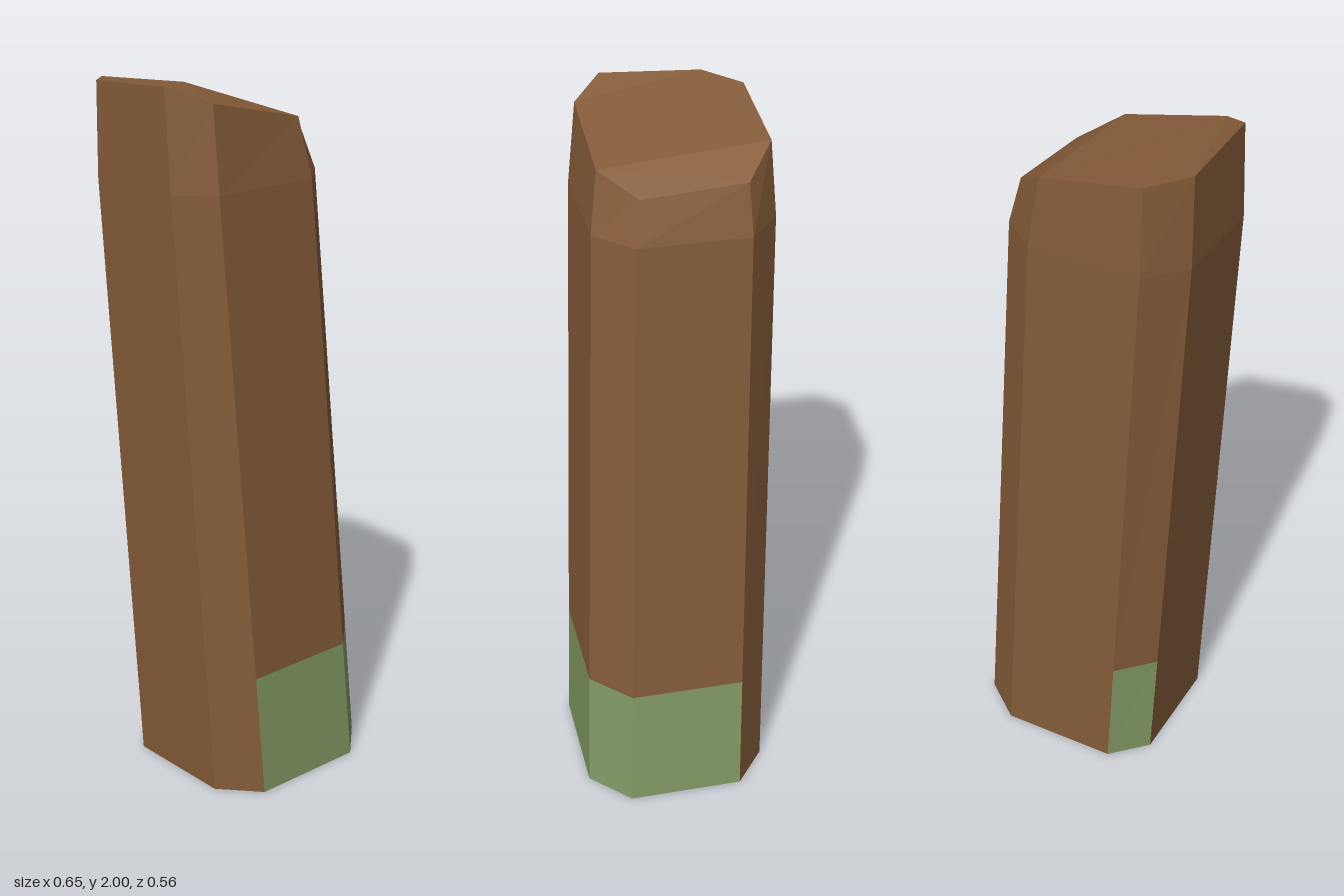
import * as THREE from 'three';

// Cross-sections as [x, y, z], counter-clockwise from above, starting at the front face's -x corner
const ring = (y, pts) => pts.map(([x, z]) => [x, y, z]);
const base = ring(0, [[-0.13, 0.277], [0.212, 0.277], [0.325, 0.17], [0.325, -0.158],
  [0.21, -0.25], [-0.13, -0.25], [-0.225, -0.155], [-0.225, 0.17]]);
const shoulder = ring(1.73, [[-0.237, 0.211], [0.085, 0.211], [0.187, 0.115], [0.187, -0.191],
  [0.08, -0.28], [-0.235, -0.28], [-0.325, -0.177], [-0.325, 0.124]]);
const crown = [[-0.237, 1.96, 0.188], [0.055, 1.895, 0.188], [0.149, 1.845, 0.096], [0.149, 1.865, -0.188],
  [0.05, 1.93, -0.27], [-0.235, 1.975, -0.27], [-0.325, 1.985, -0.175], [-0.325, 2, 0.105]];

// Level section of the shaft where the moss ends
const MOSS_TOP = 0.36;
const mossLine = base.map((p, i) => p.map((v, k) => v + (shoulder[i][k] - v) * MOSS_TOP / 1.73));

// Sides covered in moss: front, front corner, +x side and the opposite back corner
const mossySides = [0, 1, 2, 5];

function facesToMesh(name, points, material) {
  const geometry = new THREE.BufferGeometry();
  geometry.setAttribute('position', new THREE.Float32BufferAttribute(points.flat(), 3));
  geometry.computeVertexNormals();
  const mesh = new THREE.Mesh(geometry, material);
  mesh.name = name;
  return mesh;
}

function sidePanel(lower, upper, i) {
  const j = (i + 1) % 8;
  return [lower[i], lower[j], upper[j], lower[i], upper[j], upper[i]];
}

export function createModel() {
  const wood = new THREE.MeshStandardMaterial({ color: 0x855c39 });
  wood.name = 'brown wood';
  const moss = new THREE.MeshStandardMaterial({ color: 0x829a65 });
  moss.name = 'green moss';

  const shaft = [], mossPatch = [], bevel = [], end = [];
  for (let i = 0; i < 8; i++) {
    (mossySides.includes(i) ? mossPatch : shaft).push(...sidePanel(base, mossLine, i));
    shaft.push(...sidePanel(mossLine, shoulder, i));
    bevel.push(...sidePanel(shoulder, crown, i));
  }

  // Slanted top facets, folding down towards +x
  const facets = [[0, 1, 4], [0, 4, 5], [0, 5, 6], [0, 6, 7], [1, 2, 3], [1, 3, 4]];
  const top = facets.flatMap(f => f.map(i => crown[i]));
  // Underside
  for (let i = 1; i < 7; i++) end.push(base[0], base[i + 1], base[i]);

  const post = new THREE.Group();
  post.name = 'woodenPost';
  post.add(
    facesToMesh('shaft', shaft, wood),
    facesToMesh('mossPatches', mossPatch, moss),
    facesToMesh('bevelledShoulder', bevel, wood),
    facesToMesh('slantedTop', top, wood),
    facesToMesh('underside', end, wood),
  );
  return post;
}
